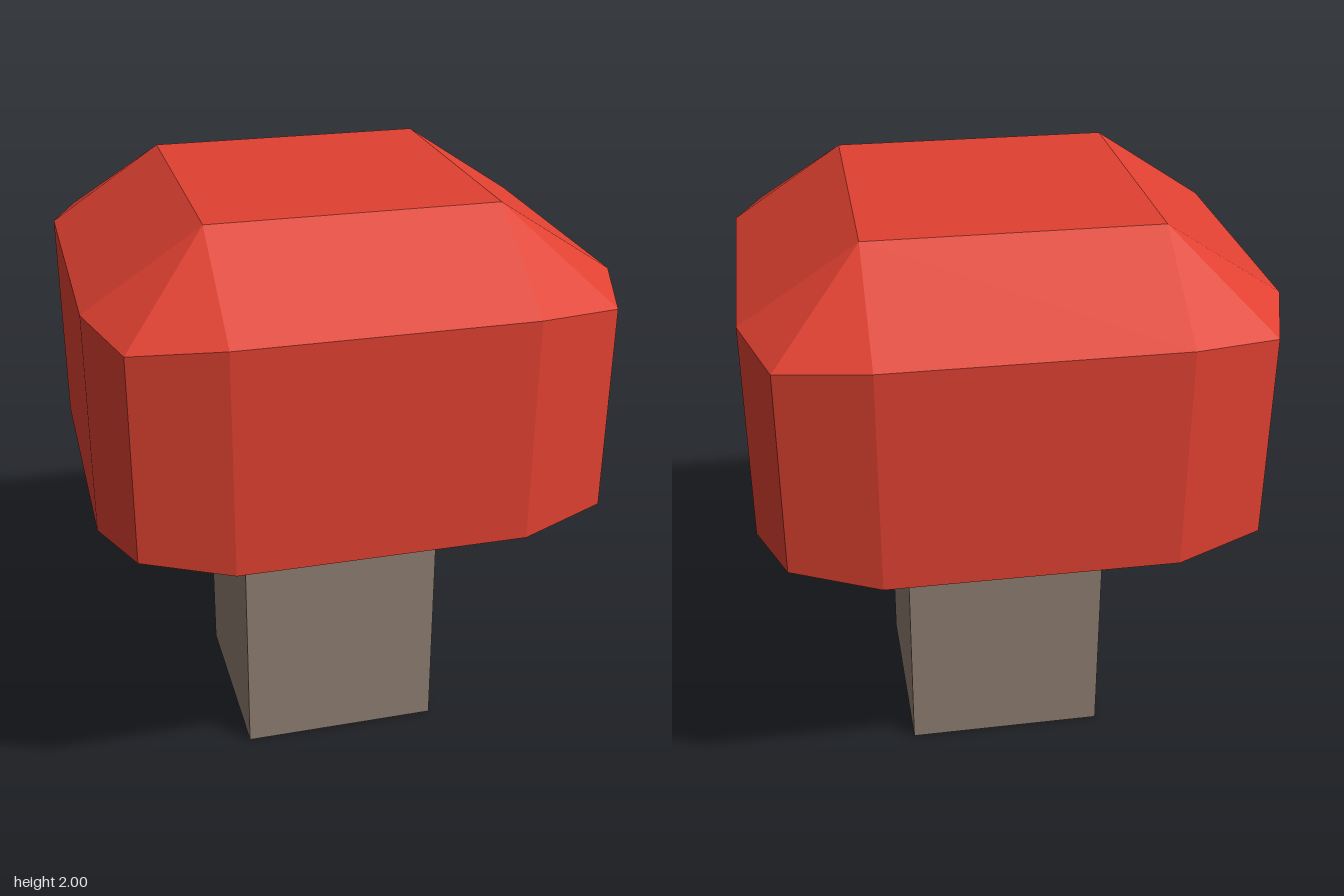
import * as THREE from 'three';

const red = new THREE.MeshStandardMaterial({ color: 0xe04131 });
red.name = 'capRed';
red.flatShading = true;
const brown = new THREE.MeshStandardMaterial({ color: 0x8f7f72 });
brown.name = 'stemBrown';
brown.flatShading = true;
brown.side = THREE.DoubleSide;

// Twelve-point ring: one corner (side, tip, side) repeated by quarter turns
function ring(corner) {
  const points = [];
  for (let q = 0; q < 4; q++) {
    for (const [x, y, z] of corner) {
      const [px, pz] = [[x, z], [-z, x], [-x, -z], [z, -x]][q];
      points.push(new THREE.Vector3(px, y, pz));
    }
  }
  return points;
}

// Skins stacked rings from bottom to top and closes both ends
function skinRings(rings) {
  const positions = [];
  const triangle = (a, b, c) => {
    if (a.equals(b) || b.equals(c) || a.equals(c)) return;
    for (const p of [a, b, c]) positions.push(p.x, p.y, p.z);
  };
  const n = rings[0].length;
  const first = rings[0];
  const last = rings[rings.length - 1];
  for (let i = 0; i < n; i++) {
    const j = (i + 1) % n;
    for (let r = 0; r < rings.length - 1; r++) {
      const low = rings[r], high = rings[r + 1];
      triangle(low[i], high[i], high[j]);
      triangle(low[i], high[j], low[j]);
    }
    triangle(first[0], first[i], first[j]);
    triangle(last[0], last[j], last[i]);
  }
  const geometry = new THREE.BufferGeometry();
  geometry.setAttribute('position', new THREE.Float32BufferAttribute(positions, 3));
  geometry.computeVertexNormals();
  return geometry;
}

export function createModel() {
  const group = new THREE.Group();
  group.name = 'mushroom';

  // Cap: square ends, with bulging sides and pulled-in corners between them
  const inner = 0.463, outer = 0.838, tip = 0.745;
  const square = (y) => ring(Array(3).fill([inner, y, inner]));
  const belt = (sideY, tipY) => ring([[outer, sideY, inner], [tip, tipY, tip], [inner, sideY, outer]]);
  const cap = new THREE.Mesh(
    skinRings([square(0.875), belt(1.025, 1.057), belt(1.754, 1.729), square(2)]), red);
  cap.name = 'cap';
  group.add(cap);

  // Stem: hollow square tube, open at the bottom
  const radius = 0.342 * Math.SQRT2;
  const stem = new THREE.Mesh(new THREE.CylinderGeometry(radius, radius, 0.875, 4, 1, true), brown);
  stem.name = 'stem';
  stem.rotation.y = Math.PI / 4;
  stem.position.y = 0.4375;
  group.add(stem);

  return group;
}
